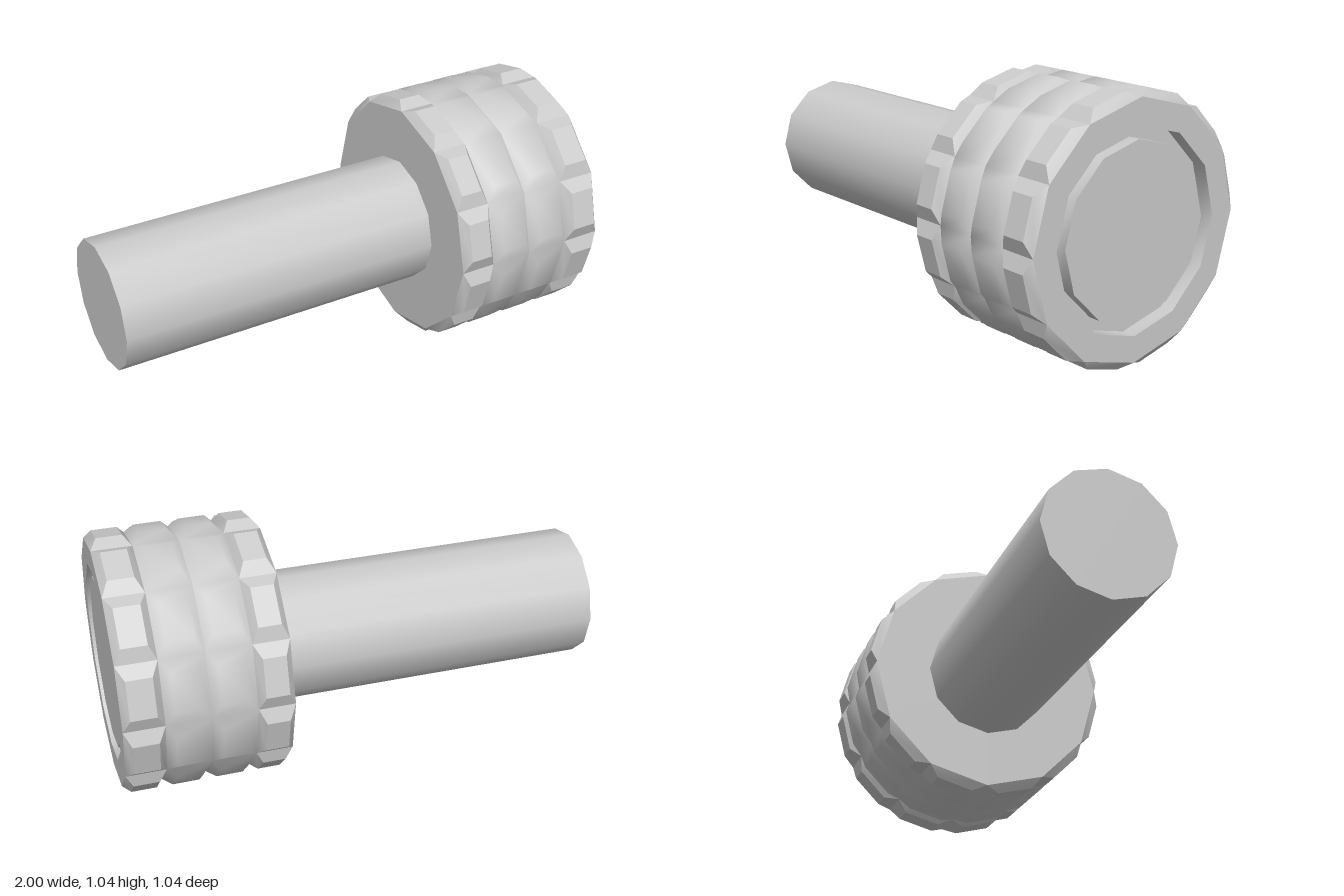
import * as THREE from 'three';
import { mergeVertices, toCreasedNormals } from 'three/addons/utils/BufferGeometryUtils.js';

const SIDES = 12;
const STEP = (Math.PI * 2) / SIDES;
const material = new THREE.MeshStandardMaterial({ color: 0xcccccc });

// Point on a ring around the x axis
const ringPoint = (x, r, a) => [x, r * Math.cos(a), r * Math.sin(a)];

// One band of raised, bevelled pads between x0 and x1
function padBand(x0, x1, inset, smooth) {
  const positions = [];
  const quad = (a, b, c, d) => positions.push(...a, ...b, ...c, ...a, ...c, ...d);
  const low = 0.5, high = 0.525, gap = STEP * 0.215;
  for (let i = 0; i < SIDES; i++) {
    const a0 = i * STEP, a1 = a0 + STEP;
    const outer = [
      ringPoint(x0, low, a0), ringPoint(x0, low, a1),
      ringPoint(x1, low, a1), ringPoint(x1, low, a0),
    ];
    const inner = [
      ringPoint(x0 + inset, high, a0 + gap), ringPoint(x0 + inset, high, a1 - gap),
      ringPoint(x1 - inset, high, a1 - gap), ringPoint(x1 - inset, high, a0 + gap),
    ];
    quad(...inner);
    for (let k = 0; k < 4; k++) {
      const n = (k + 1) % 4;
      quad(outer[k], outer[n], inner[n], inner[k]);
    }
  }
  let g = new THREE.BufferGeometry();
  g.setAttribute('position', new THREE.Float32BufferAttribute(positions, 3));
  if (smooth) g = mergeVertices(g, 1e-4);
  g.computeVertexNormals();
  return smooth ? g : toCreasedNormals(g, 0.5);
}

export function createModel() {
  const group = new THREE.Group();
  const axis = new THREE.Group();
  axis.position.y = 0.523;
  group.add(axis);
  const add = (name, geometry) => {
    const mesh = new THREE.Mesh(geometry, material);
    mesh.name = name;
    axis.add(mesh);
  };

  // Plain shaft
  const shaft = new THREE.CylinderGeometry(0.265, 0.265, 1.34, SIDES);
  shaft.rotateZ(-Math.PI / 2).translate(-0.33, 0, 0);
  add('shaft', shaft);

  // Back face of the head
  const back = new THREE.CircleGeometry(0.5, SIDES);
  back.rotateY(-Math.PI / 2).translate(0.34, 0, 0);
  add('headBack', back);

  // Front face of the head, with a groove around a central disc
  const profile = [[0.5, 1], [0.395, 1], [0.395, 0.94], [0.345, 0.94], [0.345, 0.99], [0, 0.99]]
    .map(([r, x]) => new THREE.Vector2(r, x));
  const face = new THREE.LatheGeometry(profile, SIDES);
  face.rotateZ(-Math.PI / 2);
  add('headFace', toCreasedNormals(face, 0.6));

  // Four bands of grip pads, crisp at the ends and soft in the middle
  add('gripBandBack', padBand(0.34, 0.485, 0.027, false));
  add('gripBandMiddleBack', padBand(0.485, 0.662, 0.035, true));
  add('gripBandMiddleFront', padBand(0.662, 0.84, 0.035, true));
  add('gripBandFront', padBand(0.84, 1, 0.029, false));

  return group;
}
